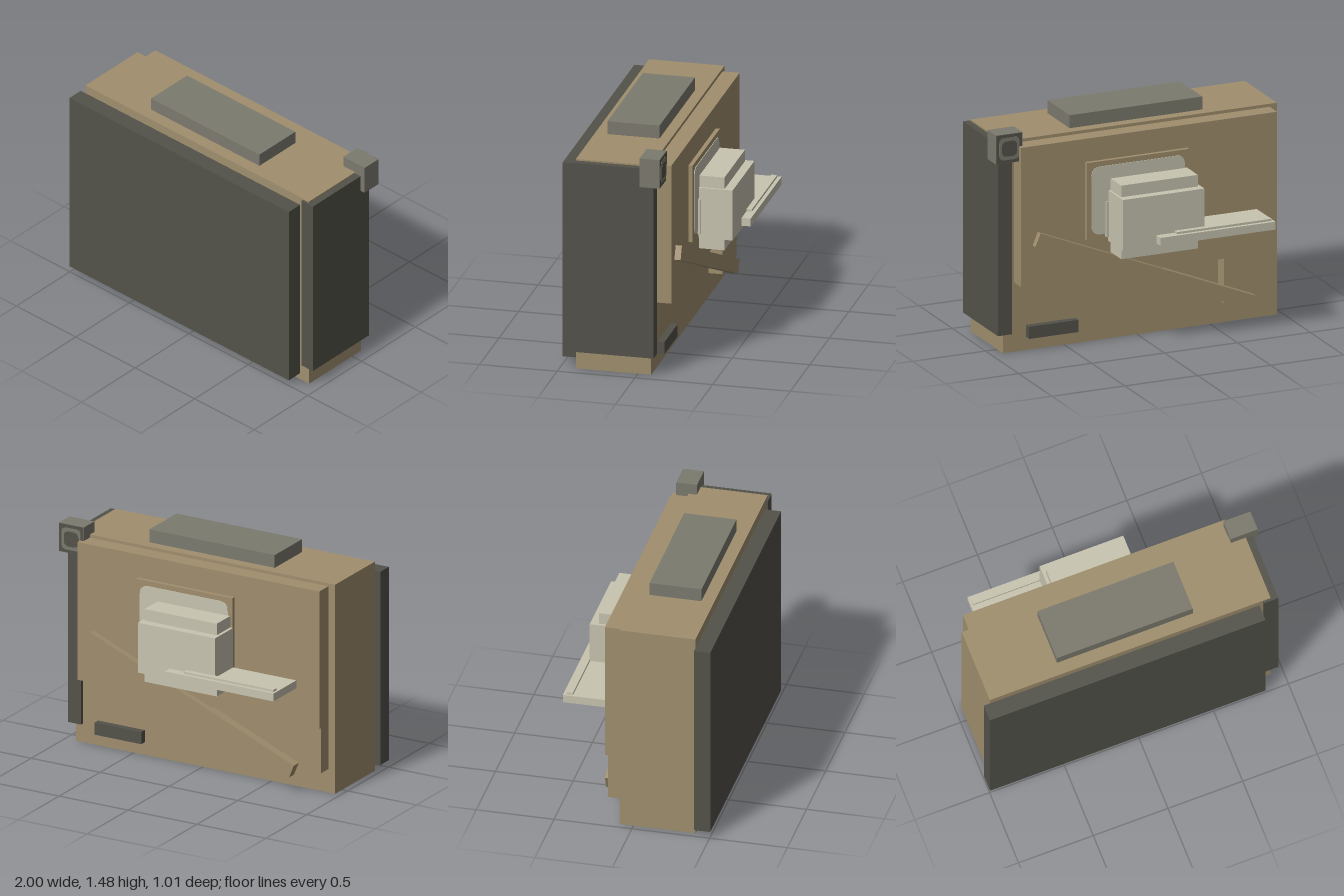
import * as THREE from 'three';

const mat = (name, color) => {
  const m = new THREE.MeshStandardMaterial({ color });
  m.name = name;
  return m;
};

export function createModel() {
  const tan = mat('tan casing', 0xa08f6e);
  const dark = mat('dark panel', 0x53524a);
  const grey = mat('grey fitting', 0x7c7a6e);
  const cream = mat('cream unit', 0xc8c4b0);

  const model = new THREE.Group();
  model.name = 'cabinet';

  const add = (name, geometry, material) => {
    const mesh = new THREE.Mesh(geometry, material);
    mesh.name = name;
    model.add(mesh);
    return mesh;
  };

  // Box given by its minimum and maximum on each axis
  const box = (name, material, [x0, x1], [y0, y1], [z0, z1]) => {
    const mesh = add(name, new THREE.BoxGeometry(x1 - x0, y1 - y0, z1 - z0), material);
    mesh.position.set((x0 + x1) / 2, (y0 + y1) / 2, (z0 + z1) / 2);
    return mesh;
  };

  // Thin plate with rounded corners, lying in the xy plane
  const roundedPlate = (name, material, [x0, x1], [y0, y1], [z0, z1], r) => {
    const s = new THREE.Shape();
    s.moveTo(x0 + r, y0);
    s.lineTo(x1 - r, y0);
    s.quadraticCurveTo(x1, y0, x1, y0 + r);
    s.lineTo(x1, y1 - r);
    s.quadraticCurveTo(x1, y1, x1 - r, y1);
    s.lineTo(x0 + r, y1);
    s.quadraticCurveTo(x0, y1, x0, y1 - r);
    s.lineTo(x0, y0 + r);
    s.quadraticCurveTo(x0, y0, x0 + r, y0);
    const g = new THREE.ExtrudeGeometry(s, { depth: z1 - z0, bevelEnabled: false, curveSegments: 4 });
    add(name, g, material).position.z = z0;
  };

  // Main casing
  box('body', tan, [-0.96, 0.92], [0, 1.39], [-0.085, 0.4]);
  box('frontPanel', dark, [-1, 0.845], [0.045, 1.33], [0.4, 0.505]);
  box('sidePanel', dark, [0.87, 0.965], [0.125, 1.38], [-0.11, 0.415]);
  box('topPanel', grey, [-0.48, 0.43], [1.385, 1.475], [-0.015, 0.32]);

  // Raised back
  box('backPlate', tan, [-0.91, 0.845], [0.455, 1.37], [-0.195, -0.08]);
  box('lowerBackBlock', tan, [-0.91, -0.555], [0.155, 0.457], [-0.175, -0.08]);
  box('backHandle', dark, [0.42, 0.76], [0.085, 0.165], [-0.13, -0.08]);

  // Sloping brace across the back
  const brace = add('brace', new THREE.BoxGeometry(1.6, 0.092, 0.06), tan);
  brace.position.set(0.008, 0.457, -0.205);
  brace.rotation.z = Math.atan2(0.035, 0.085);

  // Framed window plate behind the cream unit
  box('windowFrame', tan, [-0.295, 0.405], [0.71, 1.218], [-0.222, -0.19]);
  roundedPlate('windowPlate', cream, [-0.265, 0.375], [0.74, 1.185], [-0.226, -0.22], 0.06);

  // Cream unit with shelf
  box('innerUnit', cream, [-0.28, 0.245], [0.615, 1.098], [-0.387, -0.222]);
  box('outerUnit', cream, [-0.3, 0.26], [0.69, 1.022], [-0.443, -0.222]);
  box('sideCatch', cream, [0.25, 0.28], [0.72, 0.95], [-0.238, -0.2]);
  box('shelf', cream, [-0.76, 0.03], [0.708, 0.76], [-0.502, -0.222]);
  box('shelfStrip', cream, [-0.745, -0.095], [0.758, 0.774], [-0.478, -0.44]);

  // Corner fitting with a ringed back face
  box('cornerFitting', grey, [0.82, 1], [1.27, 1.46], [-0.158, -0.03]);
  box('cornerFace', dark, [0.822, 0.998], [1.272, 1.458], [-0.161, -0.157]);
  roundedPlate('cornerRing', grey, [0.84, 0.98], [1.292, 1.438], [-0.163, -0.16], 0.035);
  roundedPlate('cornerLens', dark, [0.858, 0.962], [1.315, 1.415], [-0.165, -0.162], 0.035);

  return model;
}
